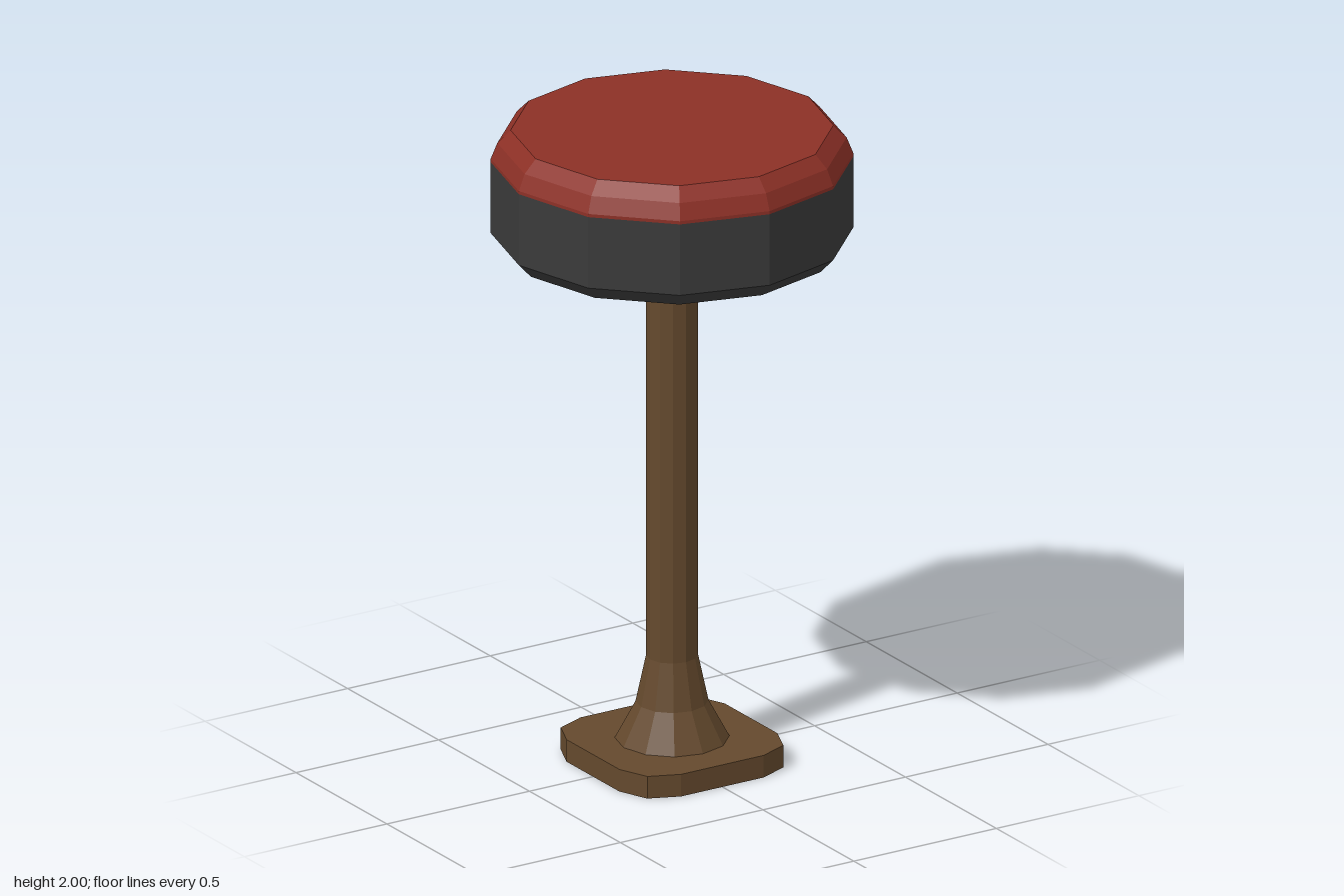
import * as THREE from 'three';

const SIDES = 12;

const material = (color) => new THREE.MeshStandardMaterial({ color, flatShading: true });

// Faceted turned part from [radius, height] pairs, listed bottom to top
function turned(name, profile, mat) {
  const points = profile.map(([r, y]) => new THREE.Vector2(r, y));
  const mesh = new THREE.Mesh(new THREE.LatheGeometry(points, SIDES), mat);
  mesh.name = name;
  return mesh;
}

// Square plate whose corners are rounded in two facets
function plate(name, half, radius, height, mat) {
  const shape = new THREE.Shape();
  const inner = half - radius;
  const points = [];
  for (let corner = 0; corner < 4; corner++) {
    const mid = Math.PI / 4 + corner * Math.PI / 2;
    const cx = Math.sign(Math.cos(mid)) * inner;
    const cy = Math.sign(Math.sin(mid)) * inner;
    for (let i = -1; i <= 1; i++) {
      const a = mid + i * Math.PI / 4;
      points.push(new THREE.Vector2(cx + radius * Math.cos(a), cy + radius * Math.sin(a)));
    }
  }
  shape.setFromPoints(points);
  const geometry = new THREE.ExtrudeGeometry(shape, { depth: height, bevelEnabled: false });
  geometry.rotateX(-Math.PI / 2);
  const mesh = new THREE.Mesh(geometry, mat);
  mesh.name = name;
  return mesh;
}

export function createModel() {
  const group = new THREE.Group();
  group.name = 'barStool';

  const wood = material(0x64492d);
  const dark = material(0x3a3a3a);
  const red = material(0x8c3026);

  // Floor plate
  group.add(plate('basePlate', 0.277, 0.132, 0.07, wood));

  // Flared foot running into the straight post
  group.add(turned('post', [
    [0.17, 0.07], [0.108, 0.185], [0.077, 0.33], [0.077, 1.61],
  ], wood));

  // Seat body with rounded lower edge
  group.add(turned('seatBody', [
    [0, 1.605], [0.425, 1.605], [0.495, 1.63], [0.537, 1.675], [0.537, 1.9],
  ], dark));

  // Cushion on top with rounded upper edge
  group.add(turned('seatCushion', [
    [0.537, 1.9], [0.537, 1.91], [0.517, 1.96], [0.478, 2], [0, 2],
  ], red));

  return group;
}
